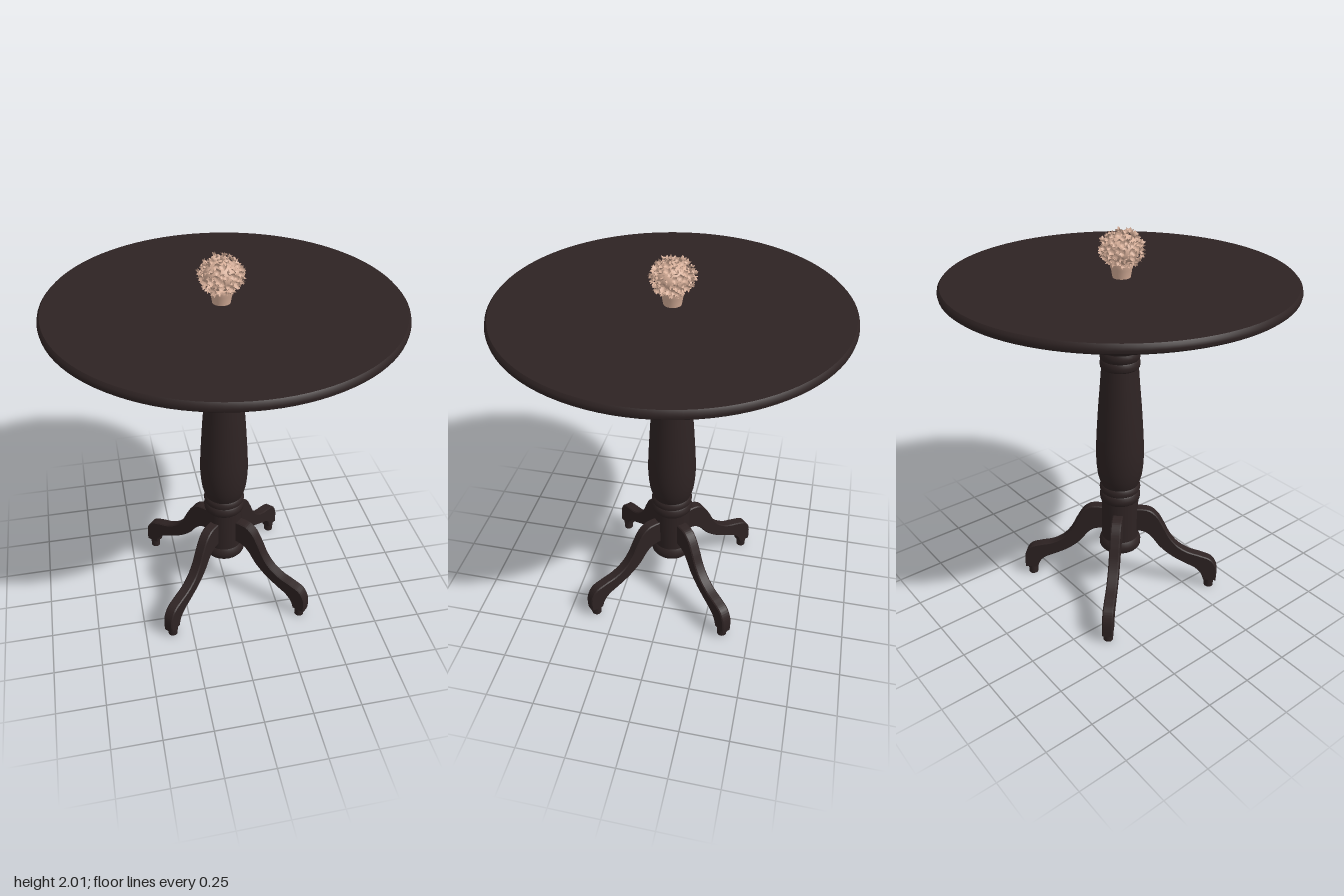
import * as THREE from 'three';
import { mergeGeometries, toCreasedNormals } from 'three/addons/utils/BufferGeometryUtils.js';

const v2 = (pts) => pts.map(([x, y]) => new THREE.Vector2(x, y));

function makeMesh(name, geometry, material) {
  const mesh = new THREE.Mesh(geometry, material);
  mesh.name = name;
  return mesh;
}

function lathe(name, pts, material, segments = 48) {
  const g = toCreasedNormals(new THREE.LatheGeometry(v2(pts), segments), 0.6);
  return makeMesh(name, g, material);
}

// S-curved leg outline in the radial plane, given thickness by extrusion
function legGeometry() {
  const s = new THREE.Shape();
  s.moveTo(0.05, 0.485);
  s.lineTo(0.12, 0.49);
  s.splineThru(v2([[0.165, 0.483], [0.205, 0.45], [0.24, 0.39], [0.275, 0.32], [0.32, 0.265],
    [0.38, 0.228], [0.45, 0.208], [0.505, 0.187], [0.535, 0.145], [0.543, 0.1], [0.541, 0.045]]));
  s.lineTo(0.472, 0.045);
  s.splineThru(v2([[0.455, 0.09], [0.42, 0.125], [0.36, 0.155], [0.29, 0.195],
    [0.225, 0.25], [0.175, 0.315], [0.13, 0.345], [0.05, 0.35]]));
  s.closePath();
  const g = new THREE.ExtrudeGeometry(s, {
    depth: 0.043, steps: 1, curveSegments: 30,
    bevelEnabled: true, bevelThickness: 0.006, bevelSize: 0.005, bevelOffset: -0.005, bevelSegments: 1,
  });
  g.translate(0, 0, -0.0215);
  return toCreasedNormals(g, 0.5);
}

// Ruffled cup-shaped blossom opening along +z
function blossomGeometry(radius, phase) {
  const g = new THREE.SphereGeometry(radius, 15, 4, 0, Math.PI * 2, 0, Math.PI * 0.5);
  g.rotateX(-Math.PI / 2);
  const p = g.attributes.position;
  for (let i = 0; i < p.count; i++) {
    const x = p.getX(i), y = p.getY(i);
    const rim = Math.hypot(x, y) / radius;
    const wave = Math.cos(5 * Math.atan2(y, x) + phase) * rim * rim;
    p.setXYZ(i, x * (1 + 0.25 * wave), y * (1 + 0.25 * wave), radius * (0.7 * rim * rim + 0.3 * wave - 0.3));
  }
  g.computeVertexNormals();
  return g;
}

function bouquetGeometry() {
  let seed = 11;
  const rand = () => (seed = (seed * 16807) % 2147483647) / 2147483647;
  const parts = [];
  const count = 130;
  const dummy = new THREE.Object3D();
  for (let i = 0; i < count; i++) {
    const y = 1 - (i + 0.5) * 1.84 / count;
    const ring = Math.sqrt(1 - y * y), a = i * 2.39996;
    const reach = 0.086 + 0.016 * rand();
    dummy.position.set(ring * Math.cos(a) * reach, y * reach * 0.84, ring * Math.sin(a) * reach);
    dummy.lookAt(dummy.position.clone().multiplyScalar(2).add(
      new THREE.Vector3(rand() - 0.5, rand() - 0.5, rand() - 0.5).multiplyScalar(0.16)));
    dummy.updateMatrix();
    parts.push(blossomGeometry(0.011 + 0.006 * rand(), rand() * 6.28).applyMatrix4(dummy.matrix));
  }
  return mergeGeometries(parts);
}

export function createModel() {
  const wood = new THREE.MeshStandardMaterial({ color: 0x2e2323 });
  wood.name = 'dark wood';
  const blush = new THREE.MeshStandardMaterial({ color: 0xd8b09a, side: THREE.DoubleSide });
  blush.name = 'blush';

  const model = new THREE.Group();
  model.name = 'pedestalTable';

  // Round top with softened edge
  model.add(lathe('tableTop', [[0, 1.73], [0.835, 1.73], [0.843, 1.737], [0.846, 1.75],
    [0.843, 1.764], [0.833, 1.775], [0, 1.775]], wood, 96));

  // Turned column
  model.add(lathe('column', [
    [0, 0.245], [0.105, 0.245], [0.112, 0.255], [0.113, 0.28], [0.106, 0.3], [0.099, 0.31],
    [0.099, 0.545], [0.106, 0.553], [0.109, 0.573], [0.105, 0.594], [0.1, 0.6],
    [0.107, 0.607], [0.109, 0.62], [0.106, 0.635], [0.1, 0.643],
    [0.107, 0.66], [0.117, 0.7], [0.123, 0.75], [0.126, 0.81], [0.125, 0.87], [0.121, 0.95],
    [0.112, 1.09], [0.101, 1.22], [0.094, 1.315],
    [0.1, 1.322], [0.102, 1.34], [0.099, 1.356], [0.095, 1.362], [0.101, 1.372], [0.103, 1.388],
    [0.1, 1.402], [0.097, 1.408], [0.105, 1.42], [0.125, 1.431], [0.147, 1.448], [0.157, 1.468],
    [0.159, 1.485], [0.154, 1.505], [0.142, 1.518], [0.122, 1.527], [0.11, 1.54], [0.107, 1.553],
    [0.108, 1.63], [0.113, 1.68], [0.116, 1.715], [0.118, 1.73]], wood));

  // Four legs on the diagonals, each with a round foot
  const legGeo = legGeometry();
  const footGeo = new THREE.CylinderGeometry(0.027, 0.025, 0.05, 20);
  for (let i = 0; i < 4; i++) {
    const leg = new THREE.Group();
    leg.name = 'leg' + (i + 1);
    leg.rotation.y = Math.PI / 4 + i * Math.PI / 2;
    const foot = makeMesh('foot', footGeo, wood);
    foot.position.set(0.502, 0.025, 0);
    leg.add(makeMesh('curvedLeg', legGeo, wood), foot);
    model.add(leg);
  }

  // Small potted flower ball
  const plant = new THREE.Group();
  plant.name = 'pottedFlowers';
  plant.position.set(-0.012, 0, 0);
  plant.add(lathe('pot', [[0, 1.775], [0.043, 1.775], [0.05, 1.815], [0.054, 1.825],
    [0.056, 1.845], [0, 1.845]], blush, 24));
  const core = makeMesh('flowerCore', new THREE.SphereGeometry(0.083, 24, 16), blush);
  core.scale.y = 0.84;
  core.position.y = 1.908;
  const blossoms = makeMesh('blossoms', bouquetGeometry(), blush);
  blossoms.position.y = 1.908;
  plant.add(core, blossoms);
  model.add(plant);

  return model;
}
